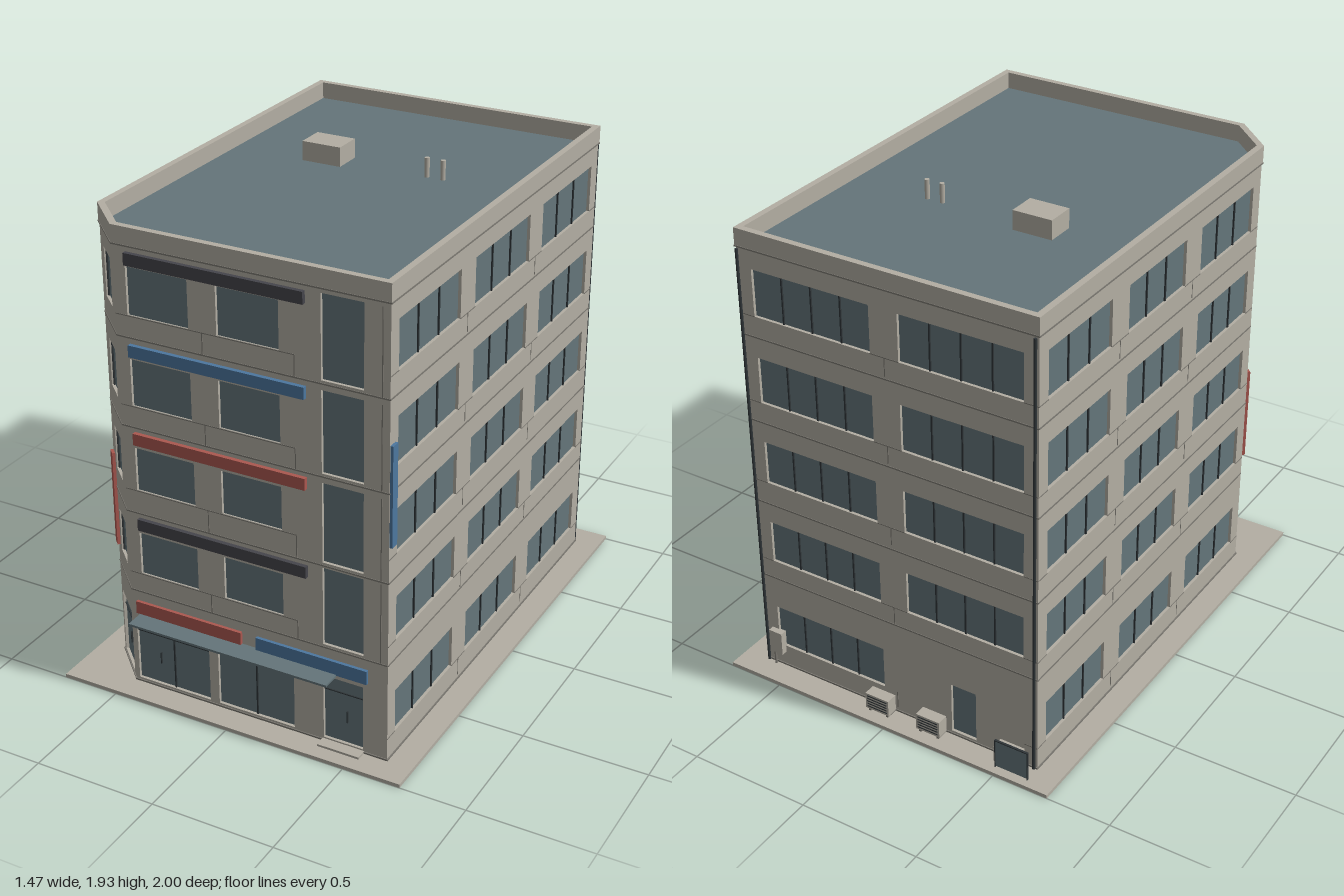
import * as THREE from 'three';

const mat = (name, color) => Object.assign(new THREE.MeshStandardMaterial({ color }), { name });

export function createModel() {
  const M = {
    wall: mat('concrete', 0xb3aea3),
    glass: mat('blue grey glass', 0x64757a),
    trim: mat('dark joint', 0x7d7a73),
    dark: mat('dark frame', 0x2f3538),
    red: mat('red sign', 0xab5850),
    blue: mat('blue sign', 0x4d779f),
    black: mat('charcoal sign', 0x45454b),
  };
  const model = new THREE.Group();
  model.name = 'officeBuilding';

  const add = (parent, name, geo, m) => {
    const mesh = new THREE.Mesh(geo, m);
    mesh.name = name;
    parent.add(mesh);
    return mesh;
  };
  // Box given by its minimum and maximum on each axis
  const box = (parent, name, m, x0, x1, y0, y1, z0, z1) => {
    const mesh = add(parent, name, new THREE.BoxGeometry(x1 - x0, y1 - y0, z1 - z0), m);
    mesh.position.set((x0 + x1) / 2, (y0 + y1) / 2, (z0 + z1) / 2);
    return mesh;
  };
  const pipe = (name, m, r, x, z, y0, y1) => {
    const mesh = add(model, name, new THREE.CylinderGeometry(r, r, y1 - y0, 10), m);
    mesh.position.set(x, (y0 + y1) / 2, z);
  };

  const BASE = 0.015, ROOF = 1.85, TOP = 1.92, T = 0.03, RECESS = 0.012;
  const sills = [0.11, 0.51, 0.87, 1.22, 1.58];
  const heads = [0.29, 0.69, 1.05, 1.41, 1.77];
  const floors = [0.43, 0.775, 1.135, 1.495];

  // Footprint corners, counterclockwise seen from above: [x, z]
  const P = [[-0.47, 0.895], [0.63, 0.895], [0.63, -0.895], [-0.63, -0.895], [-0.63, 0.74]];

  // Wall panel with window openings; local x runs along the wall, +z points outward.
  // Opening: { u0, u1, y0, y1, panes, bar }
  function facade(name, a, b, openings) {
    const dx = b[0] - a[0], dz = b[1] - a[1], len = Math.hypot(dx, dz);
    const g = new THREE.Group();
    g.name = name;
    g.position.set(a[0], 0, a[1]);
    g.rotation.y = Math.atan2(-dz, dx);
    model.add(g);
    const s = new THREE.Shape([[0, BASE], [len, BASE], [len, ROOF], [0, ROOF]].map(p => new THREE.Vector2(...p)));
    for (const { u0, u1, y0, y1, panes = 1, bar } of openings) {
      s.holes.push(new THREE.Path([[u0, y0], [u0, y1], [u1, y1], [u1, y0]].map(p => new THREE.Vector2(...p))));
      box(g, 'windowPane', M.glass, u0, u1, y0, y1, -T + 0.002, -RECESS);
      for (let i = 1; i < panes; i++) {
        const u = u0 + (u1 - u0) * i / panes;
        box(g, 'mullion', M.dark, u - 0.003, u + 0.003, y0, y1, -RECESS, -RECESS + 0.006);
      }
      if (bar) box(g, 'transom', M.dark, u0, u1, bar - 0.002, bar + 0.002, -RECESS, -RECESS + 0.005);
    }
    const geo = new THREE.ExtrudeGeometry(s, { depth: T, bevelEnabled: false });
    geo.translate(0, 0, -T);
    add(g, 'wallPanel', geo, M.wall);
    for (const y of floors) box(g, 'floorLine', M.trim, 0, len, y - 0.003, y + 0.003, -0.01, 0.002);
    return { g, len };
  }
  const joint = (g, u, y0, y1) => box(g, 'wallJoint', M.trim, u - 0.002, u + 0.002, y0, y1, -0.004, 0.001);

  // Equal window bays on every storey
  const bays = (len, n, panes, skip = () => false) => {
    const out = [];
    sills.forEach((y0, f) => {
      for (let i = 0; i < n; i++) {
        if (skip(f, i)) continue;
        out.push({ u0: len / n * i + 0.06, u1: len / n * (i + 1) - 0.06, y0, y1: heads[f], panes });
      }
    });
    return out;
  };
  const bayFacade = (name, a, b, n, panes, skip, extra = []) => {
    const len = Math.hypot(b[0] - a[0], b[1] - a[1]);
    const { g } = facade(name, a, b, [...bays(len, n, panes, skip), ...extra]);
    sills.forEach((y, f) => {
      for (let i = 1; i < n; i++) joint(g, len / n * i, Math.max(y - 0.075, 0.03), y);
      for (let i = 0; i <= n; i++) {
        const u0 = Math.max(len / n * i - 0.06, 0), u1 = Math.min(len / n * i + 0.06, len);
        if (!(skip && skip(f, i))) box(g, 'sillLine', M.trim, u0, u1, y - 0.002, y + 0.002, -0.004, 0.001);
      }
    });
    return g;
  };

  // Side and rear facades
  bayFacade('leftFacade', P[1], P[2], 3, 3);
  bayFacade('rightFacade', P[3], P[4], 3, 3);
  bayFacade('rearFacade', P[2], P[3], 2, 4, (f, i) => f === 0 && i === 1,
    [{ u0: 0.88, u1: 0.99, y0: 0.03, y1: 0.25 }]);

  // Front facade: u = x + 0.47
  const X = 0.47;
  const front = [
    { u0: X - 0.455, u1: X - 0.13, y0: 0.03, y1: 0.305, panes: 2, bar: 0.245 },
    { u0: X - 0.09, u1: X + 0.24, y0: 0.03, y1: 0.312, panes: 2, bar: 0.25 },
    { u0: X + 0.365, u1: X + 0.53, y0: 0.03, y1: 0.305, bar: 0.245 },
  ];
  floors.forEach((fl, i) => {
    const y0 = sills[i + 1], y1 = heads[i + 1];
    front.push({ u0: X - 0.42, u1: X - 0.165, y0, y1 }, { u0: X - 0.05, u1: X + 0.2, y0, y1 },
      { u0: X + 0.365, u1: X + 0.53, y0: fl + 0.012, y1: fl + 0.335 });
  });
  const { g: fg } = facade('frontFacade', P[0], P[1], front);
  floors.forEach((fl, i) => {
    joint(fg, X - 0.11, fl, sills[i + 1]);
    joint(fg, X + 0.26, fl, sills[i + 1]);
    joint(fg, X + 0.6, fl, fl + 0.335);
    box(fg, 'sillLine', M.trim, 0, X + 0.26, sills[i + 1] - 0.002, sills[i + 1] + 0.002, -0.004, 0.001);
    // Storey sign
    const m = [M.black, M.red, M.blue, M.black][i];
    const y = [0.71, 1.07, 1.425, 1.78][i];
    box(fg, 'storeySign', m, X - 0.415, X + 0.305, y, y + 0.047, 0, 0.017);
  });

  // Chamfered corner facade
  const { g: cg } = facade('cornerFacade', P[4], P[0], [
    { u0: 0.02, u1: 0.188, y0: 0.03, y1: 0.305, bar: 0.245 },
    ...sills.slice(1).map((y0, i) => ({ u0: 0.056, u1: 0.165, y0, y1: heads[i + 1] })),
  ]);
  sills.slice(1).forEach((y, i) =>
    box(cg, 'windowFrame', M.dark, 0.056, 0.064, y, heads[i + 1], -RECESS, -0.006));
  box(cg, 'cornerSign', M.red, 0.0, 0.034, 0.52, 0.92, 0, 0.012);
  box(cg, 'doorHandle', M.dark, 0.118, 0.123, 0.12, 0.17, -RECESS, -0.004);

  // Shop signs, canopy, lamps, handles and doorstep
  box(model, 'shopSign', M.red, -0.445, 0.02, 0.335, 0.387, 0.895, 0.908);
  box(model, 'shopSign', M.blue, 0.085, 0.55, 0.33, 0.387, 0.895, 0.908);
  box(model, 'canopy', M.glass, -0.43, 0.425, 0.325, 0.334, 0.895, 0.985);
  for (const x of [-0.355, 0.35]) box(model, 'doorLamp', M.trim, x - 0.013, x + 0.013, 0.308, 0.318, 0.895, 0.915);
  for (const x of [-0.355, 0.46]) box(model, 'doorHandle', M.dark, x - 0.002, x + 0.002, 0.12, 0.17, 0.88, 0.89);
  box(model, 'doorstep', M.wall, 0.36, 0.535, BASE, 0.024, 0.89, 0.94);
  box(model, 'sideSign', M.blue, 0.63, 0.641, 0.92, 1.32, 0.855, 0.892);

  // Flat shape in plan, extruded upward
  const plan = (name, pts, hole, y0, y1, m) => {
    const v = p => new THREE.Vector2(p[0], -p[1]);
    const s = new THREE.Shape(pts.map(v));
    if (hole) s.holes.push(new THREE.Path(hole.map(v)));
    const geo = new THREE.ExtrudeGeometry(s, { depth: y1 - y0, bevelEnabled: false });
    geo.rotateX(-Math.PI / 2).translate(0, y0, 0);
    add(model, name, geo, m);
  };
  // Footprint moved outward by d
  const outset = d => [[-0.47 - 0.4 * d, 0.895 + d], [0.63 + d, 0.895 + d], [0.63 + d, -0.895 - d],
    [-0.63 - d, -0.895 - d], [-0.63 - d, 0.74 + 0.4 * d]];
  plan('roof', outset(-0.01), null, 1.83, 1.852, M.glass);
  plan('parapet', outset(0.004), outset(-0.022), ROOF, TOP, M.wall);
  plan('parapetLine', outset(0.006), outset(-0.012), ROOF - 0.004, ROOF + 0.002, M.trim);
  plan('plinthLine', outset(0.004), outset(-0.02), BASE, 0.022, M.trim);
  box(model, 'groundSlab', M.wall, -0.735, 0.735, 0, BASE, -1, 1);

  // Roof hatch and vents
  box(model, 'roofHatch', M.wall, -0.3, -0.135, ROOF, 1.93, -0.275, -0.155);
  for (const x of [0.208, 0.275]) pipe('roofVent', M.wall, 0.01, x, -0.215, ROOF, 1.93);

  // Rear drainpipes
  for (const x of [-0.618, 0.625]) pipe('drainpipe', M.dark, 0.006, x, -0.901, BASE, 1.84);

  // Rear air conditioners with grilles
  for (const x of [-0.53, -0.18, 0.055]) {
    box(model, 'airConditioner', M.wall, x - 0.053, x + 0.053, 0.03, 0.1, -0.957, -0.908);
    for (let i = 0; i < 5; i++)
      box(model, 'grilleSlat', M.dark, x - 0.045, x + 0.045, 0.04 + i * 0.012, 0.044 + i * 0.012, -0.959, -0.956);
    for (const s of [-0.04, 0.04]) box(model, 'bracket', M.trim, x + s - 0.005, x + s + 0.005, BASE, 0.03, -0.95, -0.9);
  }

  // Rear notice panel and meter box
  box(model, 'noticePanel', M.glass, -0.63, -0.49, 0.02, 0.14, -0.967, -0.961);
  for (const x of [-0.632, -0.492]) box(model, 'panelFrame', M.dark, x, x + 0.004, BASE, 0.142, -0.969, -0.96);
  box(model, 'panelFrame', M.dark, -0.632, -0.488, 0.138, 0.142, -0.969, -0.96);
  box(model, 'meterBox', M.wall, 0.54, 0.6, 0.08, 0.18, -0.92, -0.89);
  pipe('meterPipe', M.trim, 0.005, 0.585, -0.908, BASE, 0.08);

  return model;
}
